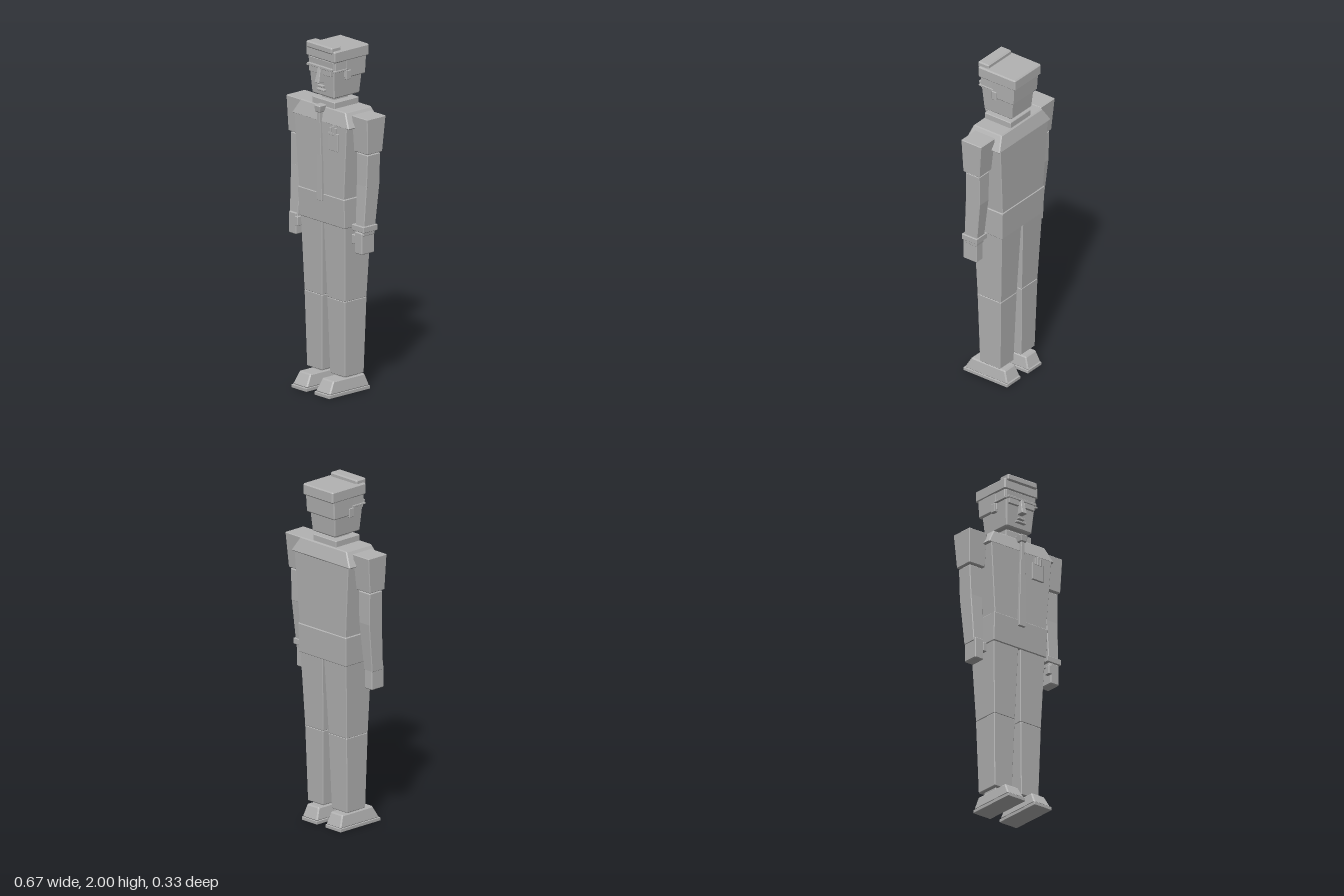
import * as THREE from 'three';
import { ConvexGeometry } from 'three/addons/geometries/ConvexGeometry.js';

const grey = new THREE.MeshStandardMaterial({ color: 0xb2b2b2 });
grey.name = 'plain grey';

// Chamfered block lofted between a lower and an upper rectangle [x0, x1, z0, z1]
function block(parent, name, y0, low, y1, high = low, bevel = 0.007) {
  const pts = [];
  for (const [y, r, sy] of [[y0, low, 1], [y1, high, -1]]) {
    for (const [x, sx] of [[r[0], 1], [r[1], -1]]) {
      for (const [z, sz] of [[r[2], 1], [r[3], -1]]) {
        const bx = x + sx * bevel, by = y + sy * bevel, bz = z + sz * bevel;
        pts.push(new THREE.Vector3(x, by, bz), new THREE.Vector3(bx, y, bz), new THREE.Vector3(bx, by, z));
      }
    }
  }
  const mesh = new THREE.Mesh(new ConvexGeometry(pts), grey);
  mesh.name = name;
  parent.add(mesh);
  return mesh;
}

function group(parent, name) {
  const g = new THREE.Group();
  g.name = name;
  parent.add(g);
  return g;
}

// Range on the x axis for one side; s = 1 is the model's left
const side = (s, a, b, z0, z1) => (s > 0 ? [a, b, z0, z1] : [-b, -a, z0, z1]);

function buildLeg(parent, s) {
  const leg = group(parent, s > 0 ? 'leftLeg' : 'rightLeg');
  block(leg, 'sole', 0, side(s, 0.033, 0.155, -0.14, 0.166), 0.02, undefined, 0.002);
  block(leg, 'shoe', 0.018, side(s, 0.036, 0.152, -0.137, 0.158), 0.092, side(s, 0.046, 0.142, -0.115, 0.124));
  block(leg, 'ankle', 0.085, side(s, 0.055, 0.135, -0.07, 0.03), 0.11, undefined, 0.003);
  block(leg, 'shin', 0.103, side(s, 0.033, 0.157, -0.093, 0.05), 0.542, side(s, 0.02, 0.167, -0.105, 0.06), 0.004);
  block(leg, 'thigh', 0.54, side(s, 0.02, 0.167, -0.105, 0.06), 0.975, side(s, 0.006, 0.183, -0.125, 0.073), 0.004);
}

function buildArm(parent, s) {
  const arm = group(parent, s > 0 ? 'leftArm' : 'rightArm');
  block(arm, 'sleeve', 1.418, side(s, 0.214, 0.325, -0.078, 0.036), 1.625, side(s, 0.205, 0.333, -0.096, 0.044), 0.004);
  block(arm, 'upperArm', 1.225, side(s, 0.228, 0.311, -0.07, 0.03), 1.412, side(s, 0.224, 0.316, -0.071, 0.026), 0.004);
  block(arm, 'forearm', 0.945, side(s, 0.236, 0.303, -0.04, 0.046), 1.235, side(s, 0.228, 0.311, -0.07, 0.03), 0.004);
  block(arm, 'hand', 0.84, side(s, 0.24, 0.3, -0.04, 0.055), 0.965, undefined, 0.005);
  block(arm, 'thumb', 0.893, side(s, 0.222, 0.245, 0.025, 0.06), 0.947, undefined, 0.003);
}

function buildHead(parent) {
  const head = group(parent, 'head');
  block(head, 'neck', 1.665, [-0.05, 0.05, -0.075, 0.035], 1.71, undefined, 0.004);
  block(head, 'face', 1.697, [-0.091, 0.091, -0.123, 0.073], 1.915, [-0.107, 0.107, -0.14, 0.088]);

  // Hair: back, side fringe, flat top and front quiff
  block(head, 'hairBack', 1.808, [-0.112, 0.112, -0.147, 0.005], 1.92, [-0.114, 0.114, -0.153, 0.005]);
  block(head, 'hairSides', 1.86, [-0.111, 0.111, -0.1, 0.08], 1.92, undefined, 0.004);
  block(head, 'hairTop', 1.91, [-0.119, 0.119, -0.167, 0.092], 1.977);
  block(head, 'quiff', 1.962, [-0.105, 0.105, 0.03, 0.104], 2.0);

  block(head, 'nose', 1.78, [-0.018, 0.018, 0.075, 0.12], 1.87, [-0.011, 0.011, 0.075, 0.1], 0.003);
  block(head, 'upperLip', 1.752, [-0.022, 0.022, 0.07, 0.094], 1.763, undefined, 0.002);
  block(head, 'lowerLip', 1.73, [-0.032, 0.032, 0.07, 0.094], 1.741, undefined, 0.002);
  block(head, 'glassesBridge', 1.86, [-0.1, 0.1, 0.08, 0.1], 1.875, undefined, 0.002);
  for (const s of [1, -1]) {
    block(head, 'ear', 1.8, side(s, 0.095, 0.118, -0.035, 0.002), 1.853, undefined, 0.003);
    block(head, 'lens', 1.828, side(s, 0.02, 0.09, 0.08, 0.096), 1.868, undefined, 0.002);
    block(head, 'templeArm', 1.853, side(s, 0.1, 0.116, -0.01, 0.09), 1.864, undefined, 0.002);
  }
}

export function createModel() {
  const model = new THREE.Group();
  model.name = 'blockyMan';

  // Trunk
  const trunk = group(model, 'trunk');
  block(trunk, 'hips', 0.97, [-0.187, 0.187, -0.13, 0.08], 1.14, [-0.191, 0.191, -0.135, 0.088], 0.004);
  block(trunk, 'chest', 1.125, [-0.183, 0.183, -0.13, 0.084], 1.565, [-0.215, 0.215, -0.14, 0.092], 0.004);
  block(trunk, 'shoulders', 1.552, [-0.232, 0.232, -0.146, 0.093], 1.64, [-0.186, 0.186, -0.125, 0.073], 0.006);
  block(trunk, 'collar', 1.632, [-0.092, 0.092, -0.115, 0.068], 1.676, undefined, 0.004);

  // Tie
  const tie = group(model, 'tie');
  block(tie, 'tieKnot', 1.61, [-0.02, 0.02, 0.07, 0.115], 1.652, [-0.025, 0.025, 0.065, 0.119], 0.005);
  block(tie, 'tieUpper', 1.36, [-0.02, 0.02, 0.085, 0.104], 1.615, [-0.011, 0.011, 0.085, 0.106], 0.002);
  block(tie, 'tieLower', 1.1, [-0.023, 0.023, 0.08, 0.102], 1.365, [-0.02, 0.02, 0.084, 0.104], 0.002);

  // Chest pocket with pens
  const pocket = group(model, 'pocket');
  block(pocket, 'pocketPatch', 1.41, [0.073, 0.153, 0.08, 0.101], 1.512, undefined, 0.002);
  [0.093, 0.112, 0.131].forEach((x, i) =>
    block(pocket, 'pen', 1.5, [x - 0.006, x + 0.006, 0.085, 0.103], i === 1 ? 1.553 : 1.543, undefined, 0.002));

  for (const s of [1, -1]) {
    buildLeg(model, s);
    buildArm(model, s);
  }
  // Wristwatch on the left arm
  block(model, 'wristwatch', 0.968, [0.217, 0.314, -0.052, 0.055], 1.003, undefined, 0.003);
  buildHead(model);
  return model;
}
